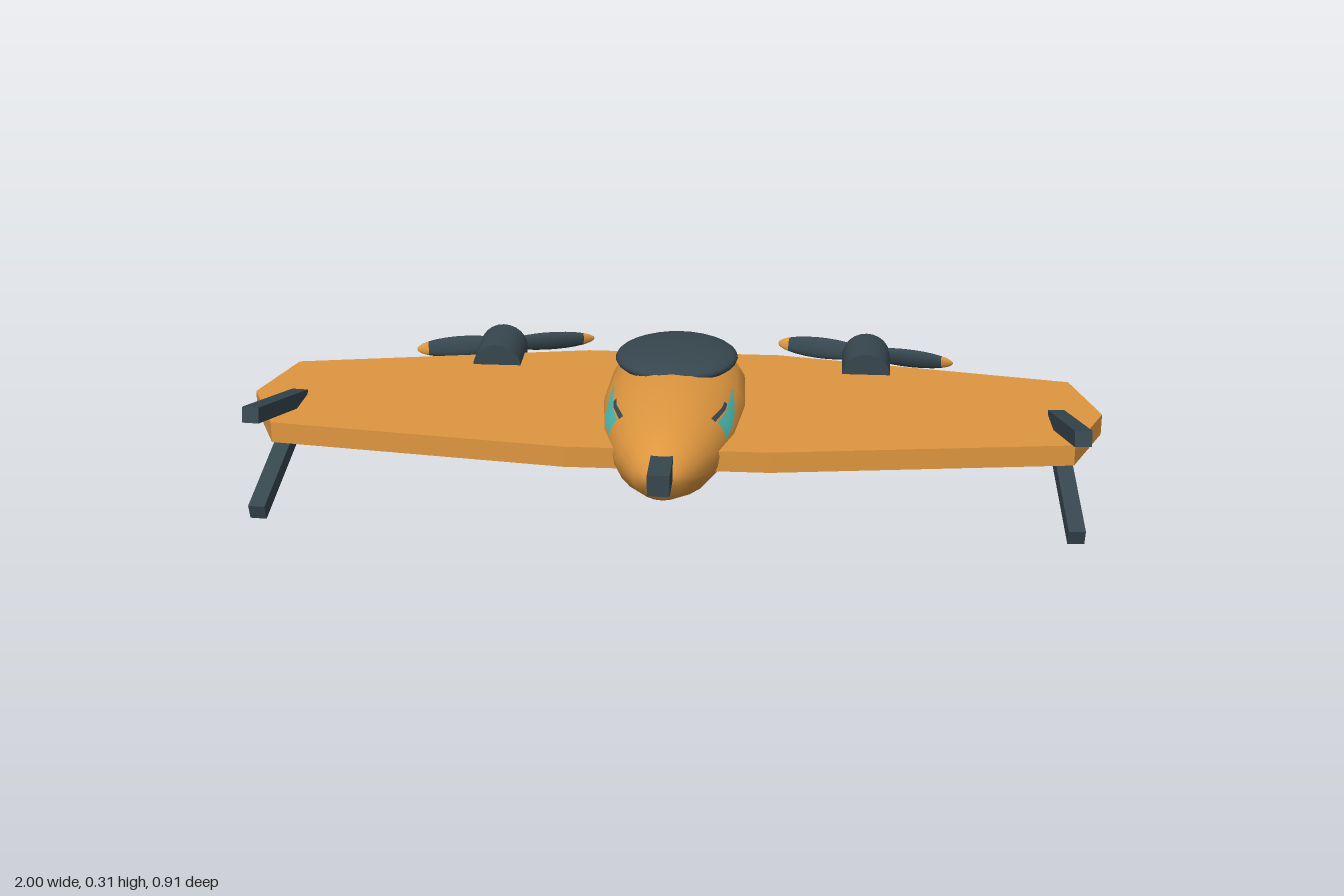
import * as THREE from 'three';

const mat = (name, color, side = THREE.FrontSide) => {
  const m = new THREE.MeshStandardMaterial({ color, side });
  m.name = name;
  return m;
};

// Fuselage stations: z, half width, top y, bottom y
const STATIONS = [
  [0.378, 0, 0.182, 0.182], [0.375, 0.035, 0.205, 0.16], [0.345, 0.068, 0.237, 0.118],
  [0.26, 0.112, 0.27, 0.083], [0.125, 0.152, 0.289, 0.06], [-0.04, 0.17, 0.293, 0.051],
  [-0.2, 0.163, 0.287, 0.059], [-0.33, 0.125, 0.259, 0.085], [-0.42, 0.073, 0.217, 0.128],
  [-0.448, 0.037, 0.2, 0.15], [-0.45, 0, 0.175, 0.175],
];

function bodyGeometry(sides = 24) {
  const pos = [], index = [];
  for (const [z, w, top, bottom] of STATIONS) {
    for (let j = 0; j < sides; j++) {
      const a = (j / sides) * Math.PI * 2;
      pos.push(Math.cos(a) * w, (top + bottom) / 2 + Math.sin(a) * (top - bottom) / 2, z);
    }
  }
  for (let i = 0; i < STATIONS.length - 1; i++) {
    for (let j = 0; j < sides; j++) {
      const a = i * sides + j, b = i * sides + (j + 1) % sides;
      index.push(a, a + sides, b, b, a + sides, b + sides);
    }
  }
  const g = new THREE.BufferGeometry();
  g.setAttribute('position', new THREE.Float32BufferAttribute(pos, 3));
  g.setIndex(index);
  g.computeVertexNormals();
  return g;
}

// Half width of the fuselage skin at height y and depth z
function skinX(y, z) {
  let i = 0;
  while (i < STATIONS.length - 2 && STATIONS[i + 1][0] > z) i++;
  const p = STATIONS[i], q = STATIONS[i + 1], t = (z - p[0]) / (q[0] - p[0]);
  const [w, top, bottom] = [1, 2, 3].map(k => p[k] + (q[k] - p[k]) * t);
  const v = (y - (top + bottom) / 2) / ((top - bottom) / 2);
  return w * Math.sqrt(Math.max(0, 1 - v * v));
}

// Thin strip lying on the skin between a lower and an upper (y, z) line
function skinStrip(side, low, high, lift, n = 8) {
  const pos = [], index = [];
  for (let i = 0; i <= n; i++) {
    const t = i / n;
    for (let k = 0; k <= 3; k++) {
      const lerp = c => THREE.MathUtils.lerp(
        THREE.MathUtils.lerp(low[0][c], low[1][c], t),
        THREE.MathUtils.lerp(high[0][c], high[1][c], t), k / 3);
      const y = lerp(0), z = lerp(1);
      pos.push(side * (skinX(y, z) + lift), y + lift * 0.5, z);
    }
  }
  for (let i = 0; i < n; i++) for (let k = 0; k < 3; k++) {
    const a = i * 4 + k, b = a + 4;
    if (side > 0) index.push(a, b, a + 1, b, b + 1, a + 1);
    else index.push(a, a + 1, b, b, a + 1, b + 1);
  }
  const g = new THREE.BufferGeometry();
  g.setAttribute('position', new THREE.Float32BufferAttribute(pos, 3));
  g.setIndex(index);
  g.computeVertexNormals();
  return g;
}

export function createModel() {
  const orange = mat('orange', 0xde963f);
  const dark = mat('dark slate', 0x37474f);
  const darkPlate = mat('dark slate plate', 0x37474f, THREE.DoubleSide);
  const teal = mat('teal', 0x4db6ac, THREE.DoubleSide);
  const grey = mat('light grey', 0xb0bec5);

  const model = new THREE.Group();
  const add = (name, geometry, material, x = 0, y = 0, z = 0, parent = model) => {
    const m = new THREE.Mesh(geometry, material);
    m.name = name;
    m.position.set(x, y, z);
    parent.add(m);
    return m;
  };
  const cylinderZ = (r, length, sides = 24) =>
    new THREE.CylinderGeometry(r, r, length, sides).rotateX(Math.PI / 2);

  add('fuselage', bodyGeometry(), orange);

  // Wing: one flat slab through the body
  const half = [[0.235, 0.228], [0.925, 0.138], [1, -0.045], [0.935, -0.238], [0.235, -0.362]];
  const outline = [...half, ...half.map(([x, z]) => [-x, z]).reverse()];
  const wing = new THREE.ExtrudeGeometry(
    new THREE.Shape(outline.map(([x, z]) => new THREE.Vector2(x, z))),
    { depth: 0.05, bevelEnabled: false });
  add('wing', wing.rotateX(Math.PI / 2), orange, 0, 0.19, 0);

  // Canopy
  const canopy = add('canopy', new THREE.SphereGeometry(1, 28, 16), dark, 0, 0.276, -0.123);
  canopy.scale.set(0.145, 0.034, 0.157);
  canopy.rotation.x = -0.04;

  // Nose barrel
  add('noseBarrel', new THREE.BoxGeometry(0.05, 0.05, 0.125), dark, 0, 0.204, 0.393);

  // Belly camera with a stepped lens
  add('cameraBox', new THREE.BoxGeometry(0.165, 0.068, 0.09), dark, 0, 0.034, -0.085);
  add('lensBarrel', cylinderZ(0.025, 0.022), grey, 0, 0.034, -0.141);
  add('lensRing', cylinderZ(0.018, 0.01), grey, 0, 0.037, -0.155);

  for (const s of [1, -1]) {
    const label = s > 0 ? 'left' : 'right';

    // Eye and its dark brow
    add(label + 'Eye', skinStrip(s, [[0.2, 0.19], [0.242, 0]], [[0.238, 0.182], [0.245, 0]], 0.006), teal);
    add(label + 'Brow', skinStrip(s, [[0.242, 0.19], [0.244, 0.09]], [[0.25, 0.19], [0.25, 0.09]], 0.007), darkPlate);

    // Tip fins, spreading up and down towards the front
    for (const v of [1, -1]) {
      const from = new THREE.Vector3(s * 0.893, 0.171 + v * 0.012, -0.035);
      const to = new THREE.Vector3(s * 0.922, 0.171 + v * 0.12, 0.331);
      const fin = add(label + (v > 0 ? 'UpperFin' : 'LowerFin'),
        new THREE.BoxGeometry(0.038, 0.036, from.distanceTo(to)), dark);
      fin.position.copy(from).add(to).multiplyScalar(0.5);
      fin.lookAt(to);
    }

    // Motor pod
    add(label + 'Motor', cylinderZ(0.059, 0.14), dark, s * 0.45, 0.183, -0.321);

    // Two-bladed propeller, turned outwards
    const prop = new THREE.Group();
    prop.name = label + 'Propeller';
    prop.position.set(s * 0.447, 0.186, -0.402);
    prop.rotation.y = -s * 0.24;
    model.add(prop);
    add('hub', cylinderZ(0.027, 0.03, 16), dark, 0, 0, 0, prop);
    for (const d of [1, -1]) {
      const blade = new THREE.Group();
      blade.name = 'blade';
      blade.rotation.set(d * 0.3, 0, 0);
      prop.add(blade);
      const split = 0.72;
      const piece = (name, start, length, material) => {
        const g = new THREE.SphereGeometry(1, 16, 10, 0, Math.PI * 2, start, length)
          .rotateZ(-d * Math.PI / 2).scale(0.112, 0.026, 0.012);
        add(name, g, material, d * 0.11, 0, 0, blade);
      };
      piece('bladeTip', 0, split, orange);
      piece('bladeBody', split, Math.PI - split, dark);
    }
  }
  return model;
}
